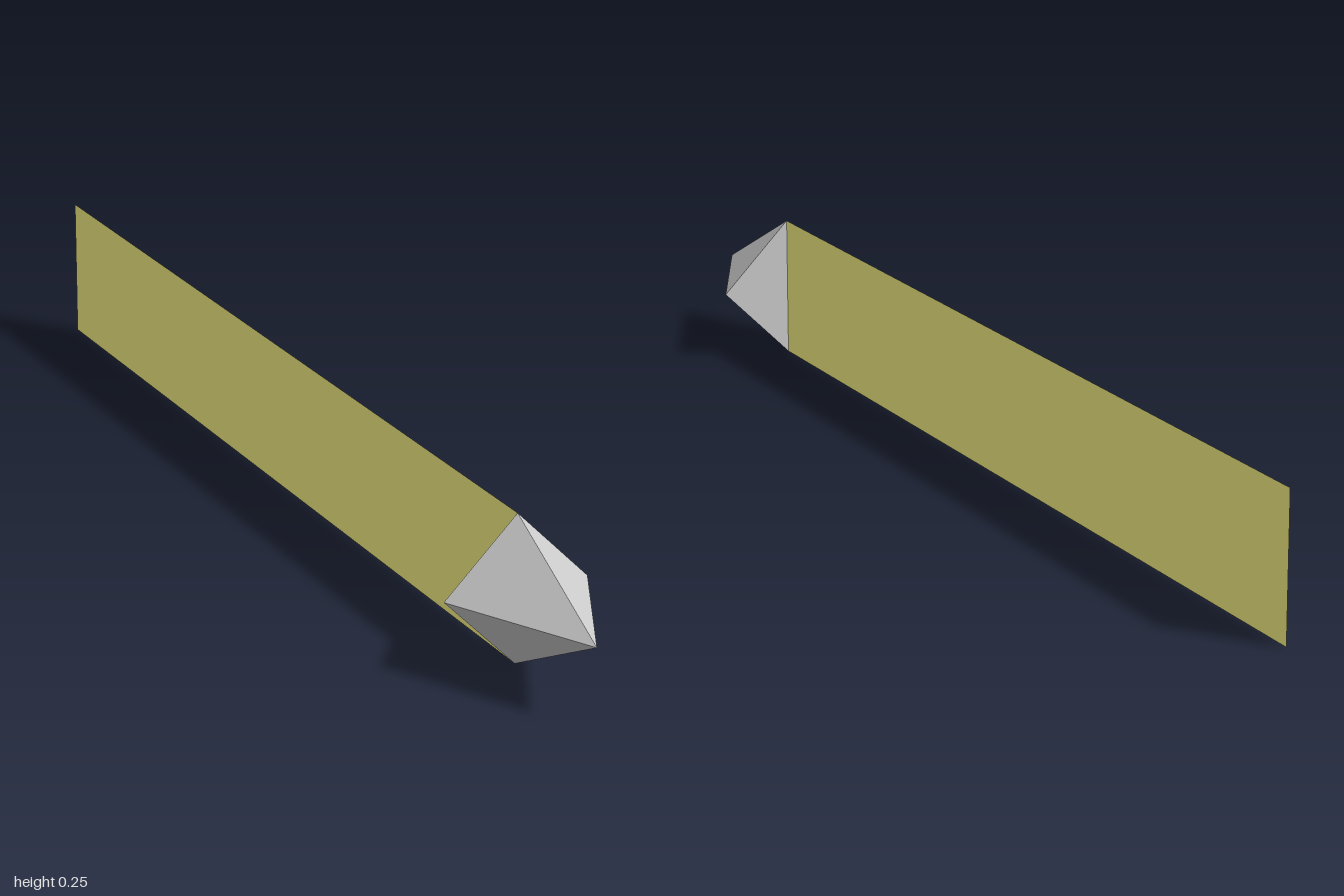
import * as THREE from 'three';

export function createModel() {
  const group = new THREE.Group();
  const half = 0.125; // half the height of head and blade

  // Four-sided pointed head with a closed back, tip towards +z
  const headGeometry = new THREE.ConeGeometry(half, 0.25, 4);
  headGeometry.rotateX(Math.PI / 2);
  const head = new THREE.Mesh(
    headGeometry,
    new THREE.MeshStandardMaterial({ color: 0xcccccc, flatShading: true })
  );
  head.name = 'head';
  head.position.set(0, half, 0.875);
  group.add(head);

  // Flat upright tail sheet running back from the head
  const tail = new THREE.Mesh(
    new THREE.PlaneGeometry(1.75, 2 * half).rotateY(Math.PI / 2),
    new THREE.MeshStandardMaterial({ color: 0xfffa88, side: THREE.DoubleSide })
  );
  tail.name = 'tail';
  tail.position.set(0, half, -0.125);
  group.add(tail);

  return group;
}
